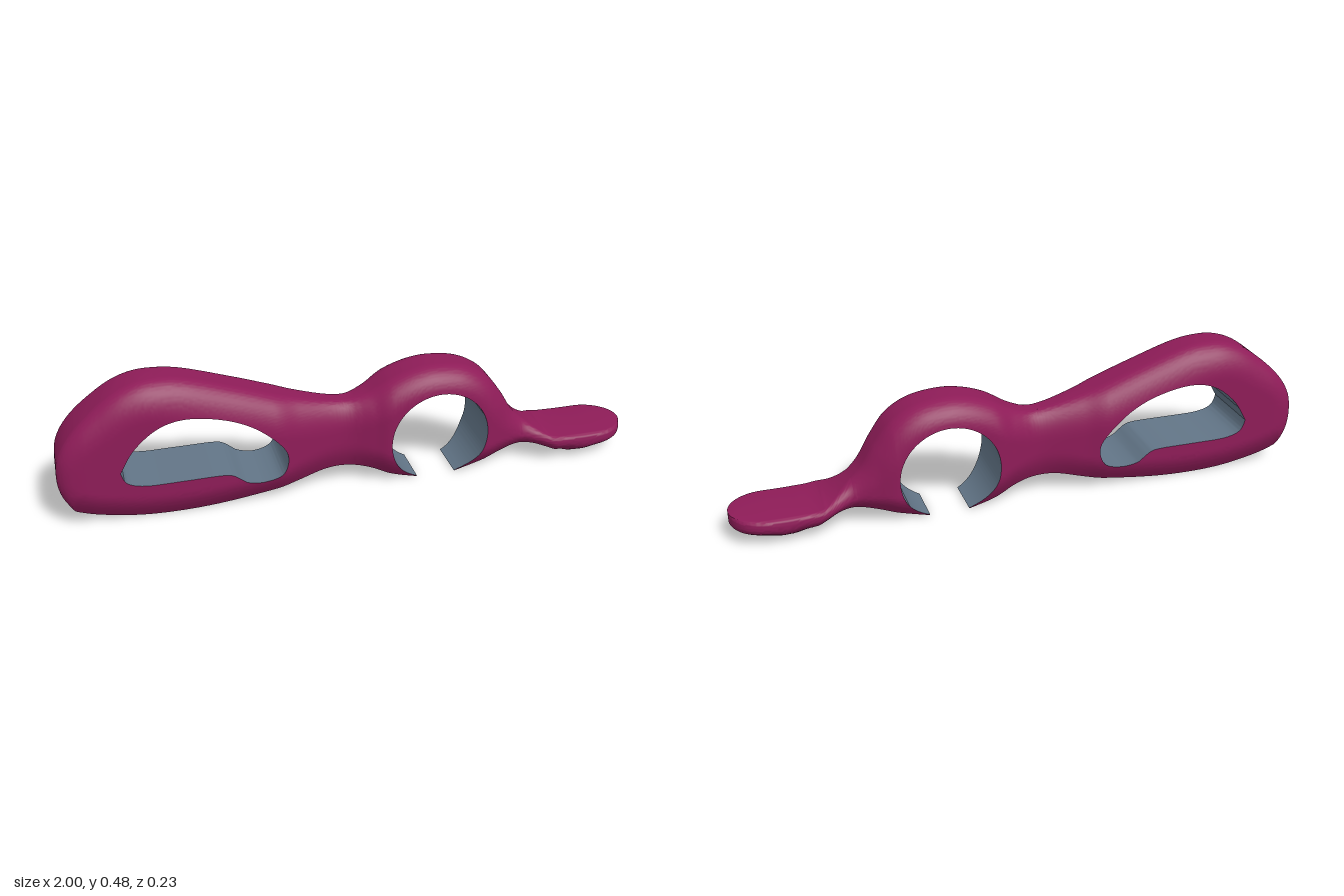
import * as THREE from 'three';
import { mergeVertices, toCreasedNormals } from 'three/addons/utils/BufferGeometryUtils.js';

const V = (x, y) => new THREE.Vector2(x, y);
const spline = (pts, n) => new THREE.SplineCurve(pts.map(p => V(...p))).getSpacedPoints(n);

// Side outline: top edge, then the underside on each side of the clamp opening
const top = spline([[-.955, .055], [-.99, .12], [-1, .19], [-.985, .27], [-.93, .35], [-.83, .435], [-.75, .475],
  [-.67, .487], [-.57, .475], [-.4, .42], [-.2, .35], [-.05, .315], [.03, .33], [.12, .38], [.2, .407], [.28, .415],
  [.38, .4], [.46, .355], [.52, .28], [.57, .2], [.63, .145], [.7, .107], [.78, .1], [.9, .1], [1, .1]], 260);
const bottomL = spline([[-.955, .055], [-.87, .03], [-.74, .008], [-.6, .003], [-.45, .012], [-.25, .04], [-.12, .07],
  [-.04, .073], [.04, .06], [.13, .025], [.21, .003]], 120);
const bottomR = spline([[.35, .003], [.44, .028], [.52, .053], [.6, .069], [.68, .06], [.75, .033], [.82, .002],
  [.9, .027], [.97, .05], [1, .062]], 80);

// Finger hole and clamp bore
const holeC = V(-.5, .22), boreC = V(.28, .165), boreR = .172;
const holeCurve = new THREE.SplineCurve([[-.8, .2], [-.78, .16], [-.72, .142], [-.6, .141], [-.47, .141], [-.43, .13],
  [-.39, .1], [-.33, .09], [-.27, .11], [-.25, .17], [-.28, .23], [-.36, .3], [-.46, .345], [-.58, .366], [-.67, .345],
  [-.75, .28], [-.8, .2]].map(p => V(...p)));
const hole = holeCurve.getPoints(160);

// y of a polyline at x
function at(line, x) {
  for (let i = 1; i < line.length; i++) {
    const a = line[i - 1], b = line[i];
    if (a.x <= x && b.x >= x && b.x > a.x) return a.y + (b.y - a.y) * (x - a.x) / (b.x - a.x);
  }
  return x < line[0].x ? line[0].y : line[line.length - 1].y;
}
const keys = pts => pts.map(p => V(...p));

// Half width, and edge rounding (depth and flat rim share) along the length
const width = spline([[-1, .105], [-.95, .112], [-.8, .118], [-.4, .118], [-.28, .115], [-.2, .095], [-.05, .07],
  [.05, .095], [.12, .116], [.3, .118], [.45, .116], [.53, .095], [.6, .077], [.65, .09], [.7, .113], [.8, .115], [1, .115]], 200);
const depthTop = keys([[-1, .05], [-.85, .09], [-.6, .13], [-.2, .12], [0, .09], [.45, .09], [.6, .05], [.7, .015], [1, .015]]);
const rimTop = keys([[-1, .6], [-.85, .4], [-.65, .25], [.5, .25], [.6, .3], [.7, .85], [1, .85]]);
const depthBot = keys([[-1, .1], [.3, .09], [.5, .07], [.65, .03], [.72, .03], [.82, .065], [.98, .02], [1, .015]]);
const rimBot = keys([[-1, .62], [.55, .62], [.65, .7], [.72, .8], [.82, .32], [.98, .8], [1, .85]]);

function dist(p, line) {
  let best = 1e9;
  for (let i = 1; i < line.length; i++) {
    const a = line[i - 1], dx = line[i].x - a.x, dy = line[i].y - a.y;
    const t = THREE.MathUtils.clamp(((p.x - a.x) * dx + (p.y - a.y) * dy) / (dx * dx + dy * dy), 0, 1);
    best = Math.min(best, Math.hypot(p.x - a.x - t * dx, p.y - a.y - t * dy));
  }
  return best;
}
function halfThickness(p) {
  let w = Math.min(.115, at(width, p.x));
  if (p.x > .88) w *= Math.sqrt(Math.max(0, 1 - ((p.x - .88) / .12) ** 2));
  const tt = Math.min(1, dist(p, top) / at(depthTop, p.x));
  const tb = Math.min(1, Math.min(dist(p, bottomL), dist(p, bottomR)) / at(depthBot, p.x));
  const eT = at(rimTop, p.x), eB = at(rimBot, p.x);
  const gT = eT + (1 - eT) * Math.sqrt(1 - (1 - tt) ** 2);
  const gB = eB + (1 - eB) * Math.sin(tb * Math.PI / 2);
  return w * Math.min(gT, gB);
}

// Vertical joints between the regions, bottom to top
const CUT1 = -.05, CUT2 = .6;
function column(x) {
  const b = at(x < .3 ? bottomL : bottomR, x), t = at(top, x);
  return Array.from({ length: 19 }, (_, j) => V(x, b + (t - b) * (1 - Math.cos(Math.PI * j / 18)) / 2));
}
const between = (line, a, b) => line.filter(p => p.x > a + .004 && p.x < b - .004);

// Point on the finger hole in the direction of p
function holeHit(p) {
  const d = p.clone().sub(holeC).normalize();
  for (let i = 1; i < hole.length; i++) {
    const a = hole[i - 1].clone().sub(holeC), b = hole[i].clone().sub(holeC);
    const ca = d.cross(a), cb = d.cross(b);
    if (ca * cb <= 0 && ca !== cb) {
      const q = a.lerp(b, ca / (ca - cb));
      if (q.dot(d) > 0) return q.add(holeC);
    }
  }
  return holeC.clone();
}
function boreHit(p) {
  const d = p.clone().sub(boreC);
  return d.setLength(Math.min(boreR, d.length())).add(boreC);
}
// Row of points from the opening to the outline, denser at the rim
const row = hit => p => {
  const a = hit(p);
  return Array.from({ length: 25 }, (_, j) => a.clone().lerp(p, 1 - (1 - j / 24) ** 2));
};

// Front and back skins over rows of points, plus the strips that join them
function sheet(rows, body, inner) {
  const P = rows.map(r => r.map(p => [p.x, p.y, halfThickness(p)]));
  const back = p => [p[0], p[1], -p[2]];
  const quad = (out, a, b, c, d) => out.push(...a, ...b, ...c, ...a, ...c, ...d);
  const onCut = (a, b) => a[0] === b[0] && (a[0] === CUT1 || a[0] === CUT2);
  for (let i = 0; i + 1 < P.length; i++) {
    const A = P[i], B = P[i + 1], n = A.length - 1;
    for (let j = 0; j < n; j++) {
      quad(body, A[j], B[j], B[j + 1], A[j + 1]);
      quad(body, back(A[j + 1]), back(B[j + 1]), back(B[j]), back(A[j]));
    }
    if (!onCut(A[n], B[n])) quad(body, A[n], B[n], back(B[n]), back(A[n]));
    quad(inner, back(A[0]), back(B[0]), B[0], A[0]);
  }
}

function finish(name, data, color, crease) {
  let g = new THREE.BufferGeometry();
  g.setAttribute('position', new THREE.Float32BufferAttribute(data, 3));
  g = toCreasedNormals(mergeVertices(g, 1e-5), crease);
  const mesh = new THREE.Mesh(g, new THREE.MeshStandardMaterial({ color }));
  mesh.name = name;
  return mesh;
}

export function createModel() {
  const body = [], holeWall = [], boreWall = [];

  // Handle around the finger hole
  const loop = [...between(top, -2, CUT1), ...column(CUT1).reverse(), ...between(bottomL, -2, CUT1).reverse()];
  loop.push(loop[0]);
  sheet(loop.map(row(holeHit)), body, holeWall);

  // Open clamp around the bore
  const clamp = [...between(bottomL, CUT1, 1).reverse(), ...column(CUT1), ...between(top, CUT1, CUT2),
    ...column(CUT2).reverse(), ...between(bottomR, -1, CUT2).reverse()];
  sheet(clamp.map(row(boreHit)), body, boreWall);

  // Thumb tab with a keel underneath
  const tab = Array.from({ length: 61 }, (_, i) => column(i ? CUT2 + .4 * Math.sin(Math.PI / 2 * i / 60) : CUT2));
  sheet(tab, body, body);

  const group = new THREE.Group();
  group.name = 'clampHandle';
  group.add(
    finish('body', body, 0x8e1c58, .6),
    finish('fingerHoleWall', holeWall, 0x627587, .6),
    finish('clampBoreWall', boreWall, 0x627587, .6)
  );
  return group;
}
